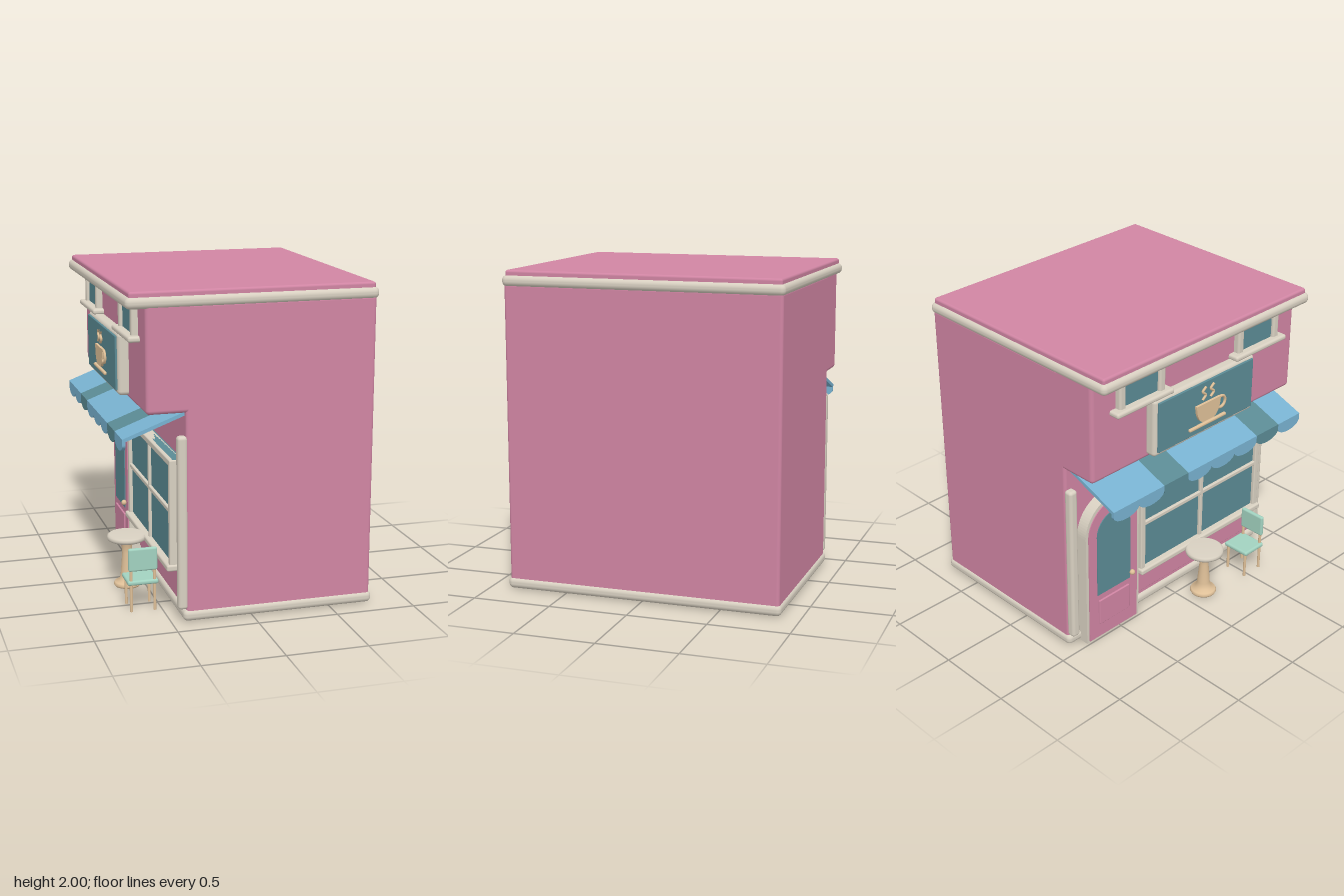
import * as THREE from 'three';
import { RoundedBoxGeometry } from 'three/addons/geometries/RoundedBoxGeometry.js';

const mat = (name, color) => {
  const m = new THREE.MeshStandardMaterial({ color });
  m.name = name;
  return m;
};

export function createModel() {
  const root = new THREE.Group();
  root.name = 'cafe';
  const pink = mat('pink wall', 0xd085a3);
  const cream = mat('cream trim', 0xd8d0c1);
  const blue = mat('awning blue', 0x78b2d0);
  const teal = mat('dark teal', 0x5b8a94);
  const mint = mat('mint', 0xa2d2c0);
  const tan = mat('tan wood', 0xdfc098);

  const add = (name, geo, material, parent = root) => {
    const m = new THREE.Mesh(geo, material);
    m.name = name;
    parent.add(m);
    return m;
  };
  // Box given by its limits on each axis, with rounded edges when r > 0
  const box = (name, material, [x0, x1], [y0, y1], [z0, z1], r = 0, parent = root) => {
    const s = [x1 - x0, y1 - y0, z1 - z0];
    const geo = r ? new RoundedBoxGeometry(...s, 3, r) : new THREE.BoxGeometry(...s);
    const m = add(name, geo, material, parent);
    m.position.set((x0 + x1) / 2, (y0 + y1) / 2, (z0 + z1) / 2);
    return m;
  };
  // Shape drawn in (z, y), raised from the facade plane x = back toward -x
  const relief = (name, material, shape, back, depth, parent = root) => {
    const geo = new THREE.ExtrudeGeometry(shape, { depth, bevelEnabled: false, curveSegments: 20 });
    geo.rotateY(-Math.PI / 2).translate(back, 0, 0);
    return add(name, geo, material, parent);
  };
  const arch = (zc, halfW, y0, top) => {
    const s = new THREE.Shape();
    s.moveTo(zc - halfW, y0);
    s.lineTo(zc + halfW, y0);
    s.lineTo(zc + halfW, top - halfW);
    s.absarc(zc, top - halfW, halfW, 0, Math.PI, false);
    s.closePath();
    return s;
  };

  // Building body
  box('mainWalls', pink, [-0.41, 0.757], [0.02, 1.92], [-0.87, 0.87], 0.02);
  box('upperOverhang', pink, [-0.645, -0.34], [1.285, 1.93], [-0.87, 0.87], 0.025);
  box('baseTrim', cream, [-0.43, 0.77], [0.005, 0.075], [-0.882, 0.882], 0.03);
  box('roofTrim', cream, [-0.76, 0.772], [1.9, 1.97], [-0.882, 0.882], 0.032);
  box('roof', pink, [-0.738, 0.752], [1.95, 2], [-0.862, 0.862], 0.015);
  for (const s of [-1, 1]) {
    const z = s * 0.842;
    box('cornerPilaster', cream, [-0.46, -0.4], [0.08, 1.145], [z - 0.03, z + 0.03], 0.02);
  }

  // Arched door
  const door = new THREE.Group();
  door.name = 'door';
  root.add(door);
  const dz = -0.555;
  relief('doorFrame', cream, arch(dz, 0.225, 0, 1.01), -0.41, 0.075, door);
  relief('doorLeaf', pink, arch(dz, 0.205, 0.01, 0.985), -0.485, 0.006, door);
  relief('doorGlass', teal, arch(dz, 0.14, 0.335, 0.905), -0.491, 0.006, door);
  box('doorPanel', pink, [-0.502, -0.485], [0.11, 0.29], [dz - 0.13, dz + 0.13], 0.005, door);
  add('doorKnob', new THREE.SphereGeometry(0.018, 16, 12), tan, door).position.set(-0.505, 0.375, -0.405);

  // Shop window
  const win = new THREE.Group();
  win.name = 'shopWindow';
  root.add(win);
  const [wl, wr, wb, wt] = [-0.315, 0.8, 0.33, 0.99];
  const mid = (wl + wr) / 2;
  box('windowGlass', teal, [-0.472, -0.4], [wb, wt], [wl + 0.01, wr - 0.01], 0, win);
  for (const z of [wl + 0.02, wr - 0.02])
    box('windowPost', cream, [-0.495, -0.41], [wb, wt], [z - 0.02, z + 0.02], 0.008, win);
  box('windowHead', cream, [-0.495, -0.41], [wt - 0.04, wt], [wl, wr], 0.008, win);
  box('windowSill', cream, [-0.515, -0.41], [0.305, 0.345], [wl - 0.01, wr + 0.01], 0.012, win);
  box('windowMullion', cream, [-0.49, -0.46], [wb, wt], [mid - 0.014, mid + 0.014], 0.006, win);
  box('windowCrossBar', cream, [-0.49, -0.46], [0.656, 0.684], [wl, wr], 0.006, win);
  box('panelUnderWindow', pink, [-0.43, -0.4], [0.11, 0.28], [wl + 0.04, wr - 0.04], 0.006, win);

  // Awning: eight sloping strips, each with a scalloped flap
  const awning = new THREE.Group();
  awning.name = 'awning';
  root.add(awning);
  const w = 1.66 / 8;
  const slope = new THREE.Shape();
  slope.moveTo(-0.41, 1.285);
  slope.lineTo(-0.78, 1.145);
  slope.lineTo(-0.78, 1.122);
  slope.lineTo(-0.41, 1.262);
  slope.closePath();
  for (let i = 0; i < 8; i++) {
    const z = -0.83 + i * w;
    const colour = i === 2 || i === 6 ? teal : blue;
    const strip = new THREE.ExtrudeGeometry(slope, { depth: w, bevelEnabled: false });
    add('awningStrip', strip.translate(0, 0, z), colour, awning);
    const flap = new THREE.Shape();
    flap.moveTo(z + w, 1.14);
    flap.lineTo(z, 1.14);
    flap.lineTo(z, 1.11);
    flap.absellipse(z + w / 2, 1.11, w / 2, 0.05, Math.PI, Math.PI * 2, false);
    flap.closePath();
    relief('awningScallop', colour, flap, -0.76, 0.02, awning);
  }

  // Sign board with a cup in relief
  const sign = new THREE.Group();
  sign.name = 'sign';
  root.add(sign);
  box('signBoard', cream, [-0.712, -0.63], [1.31, 1.69], [-0.435, 0.435], 0.025, sign);
  box('signFace', teal, [-0.724, -0.7], [1.34, 1.67], [-0.41, 0.41], 0.004, sign);
  const cup = new THREE.Shape();
  cup.moveTo(-0.105, 1.535);
  cup.bezierCurveTo(-0.1, 1.46, -0.08, 1.43, -0.05, 1.415);
  cup.lineTo(0.05, 1.415);
  cup.bezierCurveTo(0.08, 1.43, 0.1, 1.46, 0.105, 1.535);
  cup.closePath();
  relief('cupRelief', tan, cup, -0.722, 0.018, sign);
  box('saucerRelief', tan, [-0.742, -0.72], [1.382, 1.402], [-0.16, 0.16], 0.008, sign);
  const handle = add('cupHandle', new THREE.TorusGeometry(0.038, 0.009, 8, 20), tan, sign);
  handle.rotation.y = Math.PI / 2;
  handle.position.set(-0.731, 1.49, 0.115);
  for (const z of [-0.035, 0.035]) {
    const path = new THREE.CatmullRomCurve3([0, 1, 2, 3].map(
      (k) => new THREE.Vector3(-0.731, 1.56 + k * 0.027, z + (k % 2 ? 0.014 : -0.014))));
    add('steam', new THREE.TubeGeometry(path, 16, 0.008, 8), tan, sign);
  }

  // Upper windows
  for (const s of [-1, 1]) {
    const z = s * 0.5;
    const upper = new THREE.Group();
    upper.name = 'upperWindow';
    root.add(upper);
    box('upperGlass', teal, [-0.665, -0.63], [1.7, 1.92], [z - 0.14, z + 0.14], 0, upper);
    for (const e of [-1, 1])
      box('upperFrame', cream, [-0.685, -0.63], [1.7, 1.92],
        [z + e * 0.16 - 0.025, z + e * 0.16 + 0.025], 0.015, upper);
    box('upperHead', cream, [-0.685, -0.63], [1.875, 1.92], [z - 0.18, z + 0.18], 0.015, upper);
    box('upperSill', cream, [-0.715, -0.63], [1.685, 1.72], [z - 0.23, z + 0.23], 0.015, upper);
  }

  // Round table
  const table = new THREE.Group();
  table.name = 'table';
  table.position.set(-0.612, 0, 0.15);
  root.add(table);
  const lathe = (pts) => new THREE.LatheGeometry(pts.map((p) => new THREE.Vector2(...p)), 32);
  add('tableTop', lathe([[0, 0.305], [0.11, 0.305], [0.122, 0.312], [0.126, 0.325],
    [0.122, 0.338], [0.11, 0.345], [0, 0.345]]), cream, table);
  add('tablePedestal', lathe([[0, 0], [0.08, 0], [0.087, 0.012], [0.08, 0.028], [0.05, 0.04],
    [0.042, 0.08], [0.03, 0.22], [0.036, 0.28], [0.05, 0.306]]), tan, table);

  // Chair facing the table
  const chair = new THREE.Group();
  chair.name = 'chair';
  chair.position.set(-0.618, 0, 0.54);
  root.add(chair);
  box('chairSeat', mint, [-0.096, 0.096], [0.17, 0.2], [-0.09, 0.09], 0.013, chair);
  box('chairBack', mint, [-0.09, 0.09], [0.26, 0.405], [0.062, 0.09], 0.012, chair);
  for (const x of [-0.073, 0.073]) {
    for (const z of [-0.07, 0.074]) {
      const h = z > 0 ? 0.3 : 0.18;
      add('chairLeg', new THREE.CylinderGeometry(0.01, 0.009, h, 12), tan, chair)
        .position.set(x, h / 2, z);
    }
  }
  return root;
}
